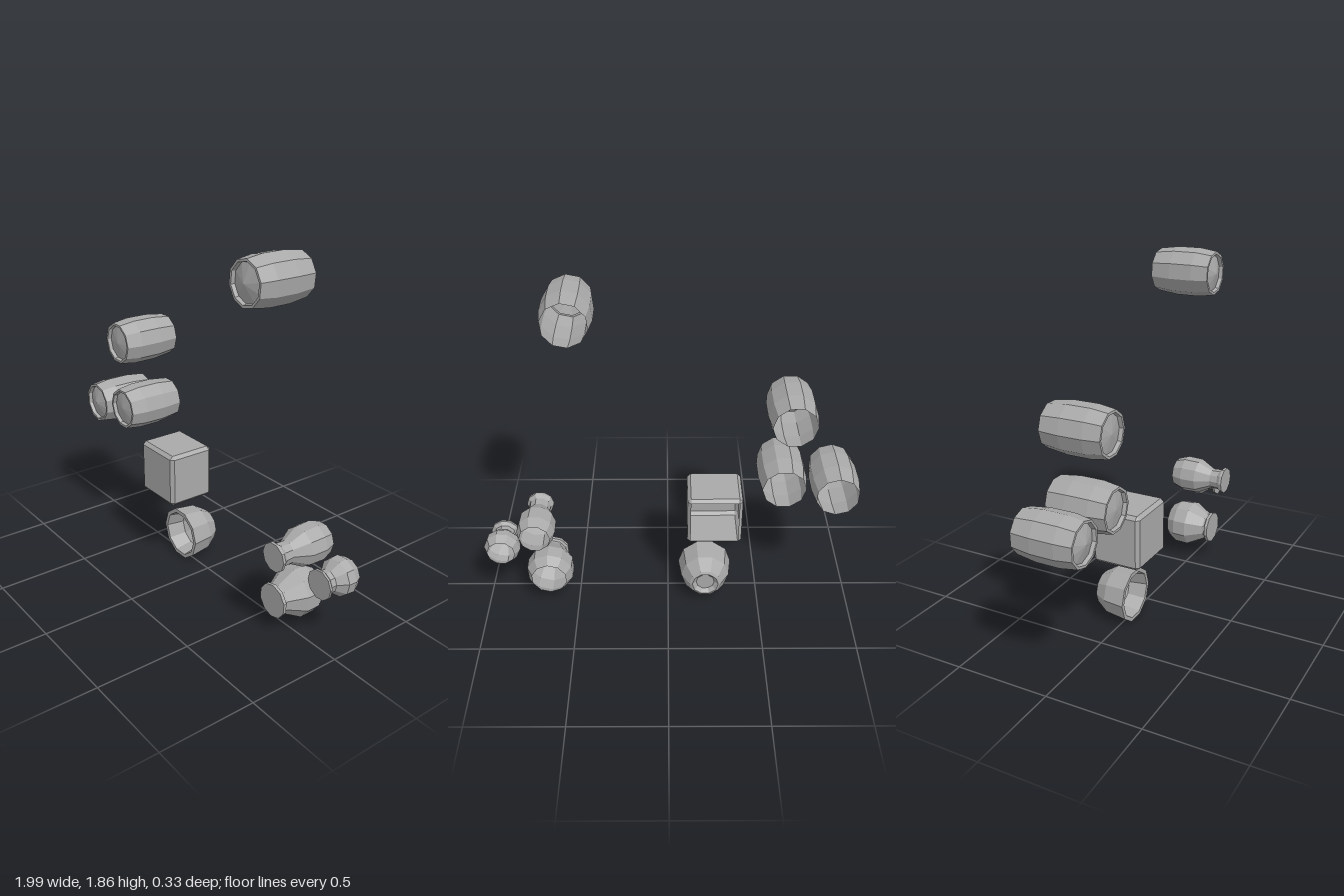
import * as THREE from 'three';

const grey = new THREE.MeshStandardMaterial({ color: 0xa9a9a9, flatShading: true, side: THREE.DoubleSide });
grey.name = 'stone grey';

// Ten-sided turned shape whose axis runs along z; profile is [radius, z] from back to front
function turned(name, profile, x, y, turn = 0) {
  const points = profile.map(([r, z]) => new THREE.Vector2(r, z));
  const geometry = new THREE.LatheGeometry(points, 10, Math.PI / 2 + THREE.MathUtils.degToRad(turn));
  geometry.rotateX(Math.PI / 2);
  const mesh = new THREE.Mesh(geometry, grey);
  mesh.name = name;
  mesh.position.set(x, y, 0);
  return mesh;
}

// Box with chamfered edges and an open back, lofted from chamfered square rings
function openCrate(half, chamfer, back, front) {
  const inner = half - chamfer;
  const rings = [[inner, back], [half, back + chamfer], [half, front - chamfer], [inner, front]];
  const position = [], index = [];
  for (const [h, z] of rings) {
    for (let k = 0; k < 4; k++) {
      const a = k * Math.PI / 2, c = Math.round(Math.cos(a)), s = Math.round(Math.sin(a));
      for (const v of [-inner, inner]) position.push(h * c - v * s, h * s + v * c, z);
    }
  }
  for (let i = 0; i < rings.length - 1; i++) {
    for (let j = 0; j < 8; j++) {
      const a = i * 8 + j, b = i * 8 + (j + 1) % 8;
      index.push(a, b, b + 8, a, b + 8, a + 8);
    }
  }
  // front panel
  const f = (rings.length - 1) * 8;
  index.push(f, f + 2, f + 4, f, f + 4, f + 6);
  const geometry = new THREE.BufferGeometry();
  geometry.setAttribute('position', new THREE.Float32BufferAttribute(position, 3));
  geometry.setIndex(index);
  geometry.computeVertexNormals();
  const mesh = new THREE.Mesh(geometry, grey);
  mesh.name = 'crate';
  return mesh;
}

export function createModel() {
  const model = new THREE.Group();
  model.name = 'containers';

  // Barrels: open at the back, recessed domed lid at the front
  const barrels = [
    [0.473, 1.745, 12, 0.162],
    [-0.623, 1.193, 0, 0.152],
    [-0.595, 0.815, 0, 0.152],
    [-0.875, 0.765, 20, 0.162],
  ];
  for (const [x, y, turn, apex] of barrels) {
    model.add(turned('barrel', [
      [0.112, -0.165], [0.126, -0.057], [0.126, 0.067], [0.113, 0.155],
      [0.1, 0.155], [0.096, 0.135], [0, apex],
    ], x, y, turn));
  }

  // Crate
  const crate = openCrate(0.146, 0.018, -0.102, 0.16);
  crate.position.set(-0.25, 0.547, 0);
  model.add(crate);

  // Bowl: opening towards the front, hollow foot at the back
  model.add(turned('bowl', [
    [0, -0.135], [0.05, -0.135], [0.072, -0.156], [0.088, -0.148], [0.132, -0.077],
    [0.147, 0.04], [0.125, 0.04], [0.106, -0.055], [0, -0.13],
  ], -0.206, 0.153));

  // Pots: open mouth at the back, flared foot at the front
  model.add(turned('largePot', [
    [0.096, -0.157], [0.128, -0.105], [0.13, -0.03], [0.077, 0.065],
    [0.077, 0.076], [0.09, 0.083], [0.09, 0.1], [0, 0.1],
  ], 0.655, 0.195, 15));
  model.add(turned('tallPot', [
    [0.082, -0.162], [0.104, -0.1], [0.101, -0.012], [0.057, 0.07],
    [0.06, 0.118], [0.075, 0.138], [0.075, 0.152], [0, 0.152],
  ], 0.712, 0.487));
  model.add(turned('smallPot', [
    [0.074, -0.163], [0.098, -0.118], [0.095, -0.075], [0.058, -0.027],
    [0.058, 0.002], [0.077, 0.018], [0.077, 0.03], [0, 0.03],
  ], 0.9, 0.387, 5));

  return model;
}
